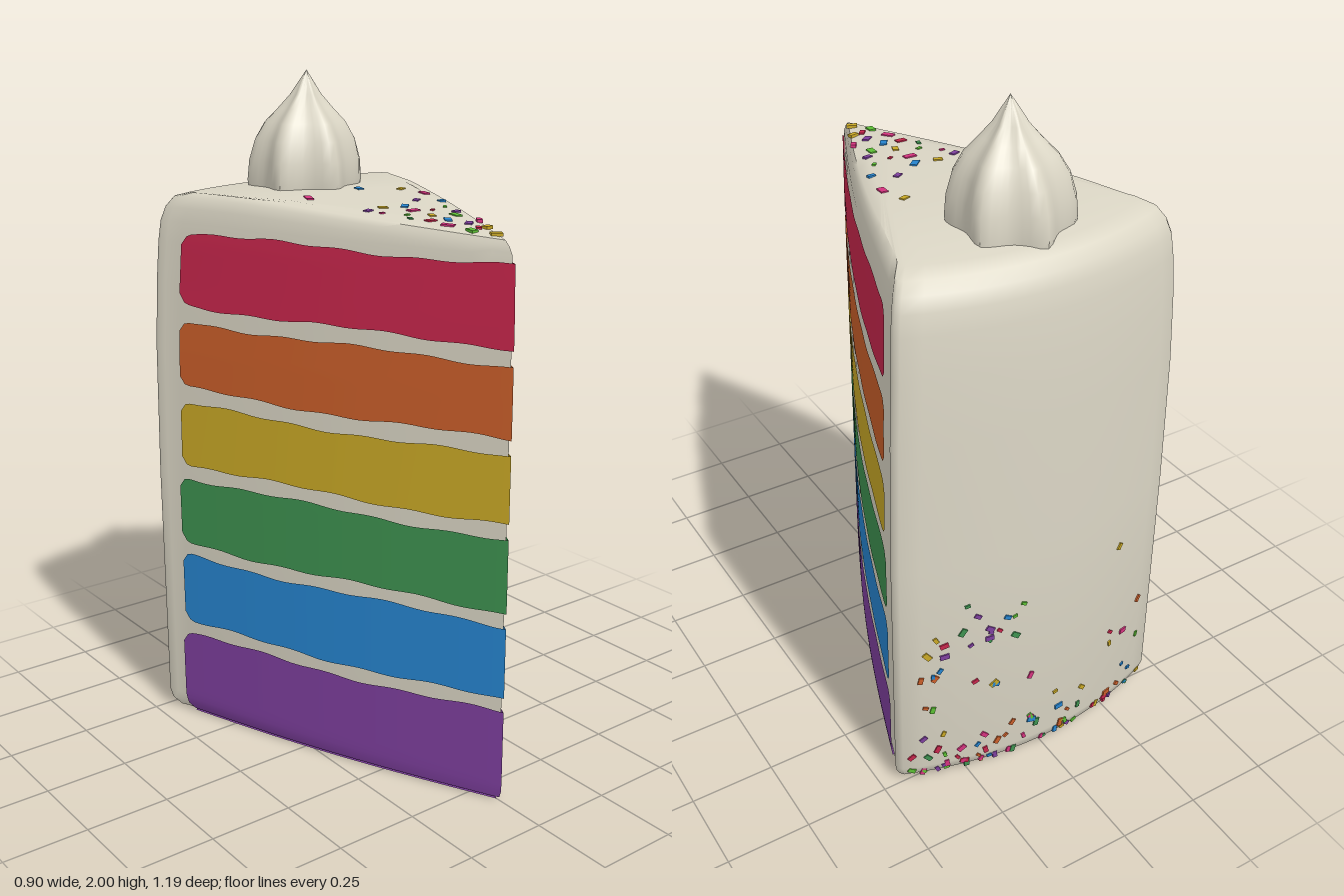
import * as THREE from 'three';
import { toCreasedNormals } from 'three/addons/utils/BufferGeometryUtils.js';

const material = (name, color) => {
  const m = new THREE.MeshStandardMaterial({ color, side: THREE.DoubleSide });
  m.name = name;
  return m;
};

// Surface through rows of points; each row may close on itself
function loft(rows, closed, crease) {
  const n = rows[0].length, index = [];
  for (let j = 0; j < rows.length - 1; j++) {
    for (let i = 0; i < (closed ? n : n - 1); i++) {
      const a = j * n + i, b = j * n + (i + 1) % n;
      index.push(a, b, b + n, a, b + n, a + n);
    }
  }
  const g = new THREE.BufferGeometry();
  g.setAttribute('position', new THREE.Float32BufferAttribute(rows.flat(2), 3));
  g.setIndex(index);
  return toCreasedNormals(g, crease);
}

// Body profile: height, width scale, depth scale
const levels = [
  [0.012, 0, 0], [0.012, 0.95, 0.97], [0.03, 0.985, 0.993], [0.06, 1, 1], [0.8, 1, 1],
  [1.2, 0.985, 1], [1.4, 0.965, 0.995], [1.52, 0.95, 0.985], [1.58, 0.935, 0.977],
  [1.62, 0.91, 0.962], [1.65, 0.87, 0.935], [1.664, 0.8, 0.88], [1.67, 0.5, 0.5], [1.67, 0, 0],
];
const PIVOT = 0.3;
const topDrop = (z) => 0.05 * THREE.MathUtils.clamp((z + 0.2) / 0.78, 0, 1);
const sidePoint = (s) => [
  Math.sign(s) * (0.44 * Math.abs(s) + 0.025 * Math.sin(Math.PI * Math.abs(s))),
  0.585 - 1.045 * Math.abs(s),
];
const backZ = (x) => -0.59 + 0.439 * x * x;
const scaled = ([x, z], kx, kz) => [x * kx, PIVOT + (z - PIVOT) * kz];

// Width and depth scale at a height on the wall
function scalesAt(y) {
  let i = 1;
  while (i < 9 && levels[i + 1][0] < y) i++;
  const [a, b] = [levels[i], levels[i + 1]];
  const t = THREE.MathUtils.clamp((y - a[0]) / (b[0] - a[0]), 0, 1);
  return [a[1] + (b[1] - a[1]) * t, a[2] + (b[2] - a[2]) * t];
}

// Frosted wedge with a bowed back and softened top
function bodyGeometry() {
  const outline = [];
  for (let i = 0; i <= 20; i++) outline.push(sidePoint(i / 20));
  outline.push([0.451, -0.478], [0.45, -0.492]);
  for (let i = 0; i <= 16; i++) {
    const x = 0.44 - 0.055 * i;
    outline.push([x, backZ(x)]);
  }
  outline.push([-0.45, -0.492], [-0.451, -0.478]);
  for (let i = 20; i >= 1; i--) outline.push(sidePoint(-i / 20));
  const rows = levels.map(([y, kx, kz]) => outline.map((p) => {
    const [x, z] = scaled(p, kx, kz);
    return [x, y - (y > 1.6 ? topDrop(z) * Math.min(1, (y - 1.58) / 0.06) : 0), z];
  }));
  return loft(rows, true, 0.8);
}

// Sponge layer wrapping both cut sides, with uneven edges
function layerGeometry(low, high, end, seed) {
  const rows = [], STEPS = 120, ROWS = 14;
  const wave = (s, k) => 0.005 * Math.sin(s * 9 + seed * 2.3 + k) + 0.003 * Math.sin(s * 31 + seed + k * 2);
  for (let j = 0; j <= ROWS; j++) {
    const row = [];
    for (let i = 0; i <= STEPS; i++) {
      const s = end * (2 * i / STEPS - 1);
      const d = Math.min(1, (end - Math.abs(s)) / 0.04);
      const round = 0.03 * (1 - Math.sqrt(1 - (1 - d) ** 2));
      const y0 = low < 0.05 ? low : low + wave(s, 0) + round;
      const y1 = high + wave(s, 2) - round;
      const y = y0 + (y1 - y0) * j / ROWS;
      const [x, z] = scaled(sidePoint(s), ...scalesAt(y));
      row.push([x + Math.sign(s) * 0.0046, y, z + (i === STEPS / 2 ? 0.01 : 0.002)]);
    }
    rows.push(row);
  }
  return loft(rows, false, 0.8);
}

// Six-ridged piped swirl rising to a point
function swirlGeometry() {
  const profile = [
    [1.64, 0.165], [1.68, 0.172], [1.74, 0.168], [1.8, 0.152], [1.85, 0.122],
    [1.89, 0.082], [1.93, 0.046], [1.97, 0.02], [2, 0],
  ];
  const N = 48;
  return loft(profile.map(([y, r], j) => Array.from({ length: N }, (_, i) => {
    const a = i / N * Math.PI * 2;
    const ridge = 1 - 0.2 * Math.abs(Math.sin(3 * (a + Math.PI / 2) + j * 0.06)) ** 1.3;
    return [Math.cos(a) * r * ridge, y, -0.34 - Math.sin(a) * r * ridge + 0.02 * j / 8];
  })), true, 1.0);
}

export function createModel() {
  const cake = new THREE.Group();
  cake.name = 'cakeSlice';
  const cream = material('cream', 0xdbd6c5);
  const purple = material('purple', 0x7e3f9e), blue = material('blue', 0x2685d0);
  const green = material('green', 0x3e9250), yellow = material('yellow', 0xcaa926);
  const orange = material('orange', 0xcb5f2a), red = material('red', 0xc8264c);
  const pink = material('pink', 0xd6337f), lime = material('lime', 0x5cc034);
  const add = (name, geometry, mat, parent = cake) => {
    const mesh = new THREE.Mesh(geometry, mat);
    mesh.name = name;
    parent.add(mesh);
    return mesh;
  };

  add('frosting', bodyGeometry(), cream);
  add('creamSwirl', swirlGeometry(), cream);

  // Six sponge layers, bottom to top
  [
    [0.014, 0.285, 0.965, purple], [0.325, 0.55, 0.955, blue], [0.59, 0.805, 0.955, green],
    [0.848, 1.04, 0.945, yellow], [1.088, 1.29, 0.945, orange], [1.338, 1.555, 0.945, red],
  ].forEach(([low, high, end, mat], i) => add(mat.name + 'Layer', layerGeometry(low, high, end, i), mat));

  // Purple underside, leaving a cream rim at the back
  const base = [];
  for (let i = -20; i <= 20; i++) base.push(scaled(sidePoint(i / 20 * 0.965), 0.955, 0.972));
  for (let i = 1; i < 12; i++) {
    const x = 0.41 - 0.82 * i / 12;
    base.push([x, backZ(x) + 0.07]);
  }
  const underside = new THREE.ShapeGeometry(new THREE.Shape(base.map((p) => new THREE.Vector2(...p))));
  underside.rotateX(Math.PI / 2);
  add('underside', underside, purple).position.y = 0.005;

  // Sprinkles on top: x, z, colour, length, turn
  const sprinkles = new THREE.Group();
  sprinkles.name = 'sprinkles';
  cake.add(sprinkles);
  [
    [-0.16, -0.09, pink, 0.042, 1.2], [0.055, -0.14, blue, 0.028, 1.4], [0.165, -0.08, yellow, 0.025, 0.4],
    [0.187, 0, pink, 0.032, 1.5], [0.1, 0.07, purple, 0.025, 0.6], [-0.115, 0.125, purple, 0.027, 0.4],
    [-0.052, 0.11, yellow, 0.026, -0.4], [0.016, 0.122, blue, 0.036, 0.8], [0.16, 0.11, blue, 0.022, 0],
    [0, 0.178, pink, 0.036, 0], [-0.1, 0.168, pink, 0.014, 0], [0.052, 0.198, red, 0.014, 0.5],
    [0.113, 0.18, lime, 0.016, 0.8], [-0.053, 0.217, lime, 0.016, 0.3], [-0.075, 0.257, green, 0.018, 1.3],
    [0.004, 0.253, yellow, 0.026, 1.2], [0.1, 0.243, purple, 0.024, 0.2], [0.068, 0.278, lime, 0.034, 1.5],
    [-0.042, 0.303, red, 0.03, 0], [0.008, 0.315, blue, 0.034, 1], [0.085, 0.355, pink, 0.024, 1],
    [-0.036, 0.367, pink, 0.036, -1], [0.03, 0.375, purple, 0.03, 0.7], [-0.02, 0.443, lime, 0.03, 1.5],
    [0.016, 0.43, red, 0.024, 0.9], [0.046, 0.43, yellow, 0.027, 0.2], [0.012, 0.503, yellow, 0.032, -0.5],
  ].forEach(([x, z, mat, length, turn]) => {
    const s = add('topSprinkle', new THREE.BoxGeometry(length, 0.009, Math.min(0.02, length * 0.65)), mat, sprinkles);
    s.position.set(x, 1.669 - topDrop(z), z);
    s.rotation.set(0.064, turn, 0);
  });

  // Sprinkles on the back, thickest near the foot
  let seed = 7;
  const random = () => (seed = (seed * 16807) % 2147483647) / 2147483647;
  for (let i = 0; i < 12; i++) random();
  const colours = [pink, purple, blue, lime, yellow, red, orange, green];
  for (let i = 0; i < 95; i++) {
    const x0 = (random() - 0.5) * 0.84, y = 0.035 + 0.66 * random() ** 2.6;
    const [x, z] = scaled([x0, backZ(x0)], ...scalesAt(y));
    const size = 0.014 + 0.014 * random();
    const s = add('backSprinkle', new THREE.BoxGeometry(size, size * 0.6, 0.008), colours[i % 8], sprinkles);
    s.position.set(x, y, z);
    s.rotation.set(0, Math.atan(-0.88 * x0), random() * Math.PI);
  }
  return cake;
}
